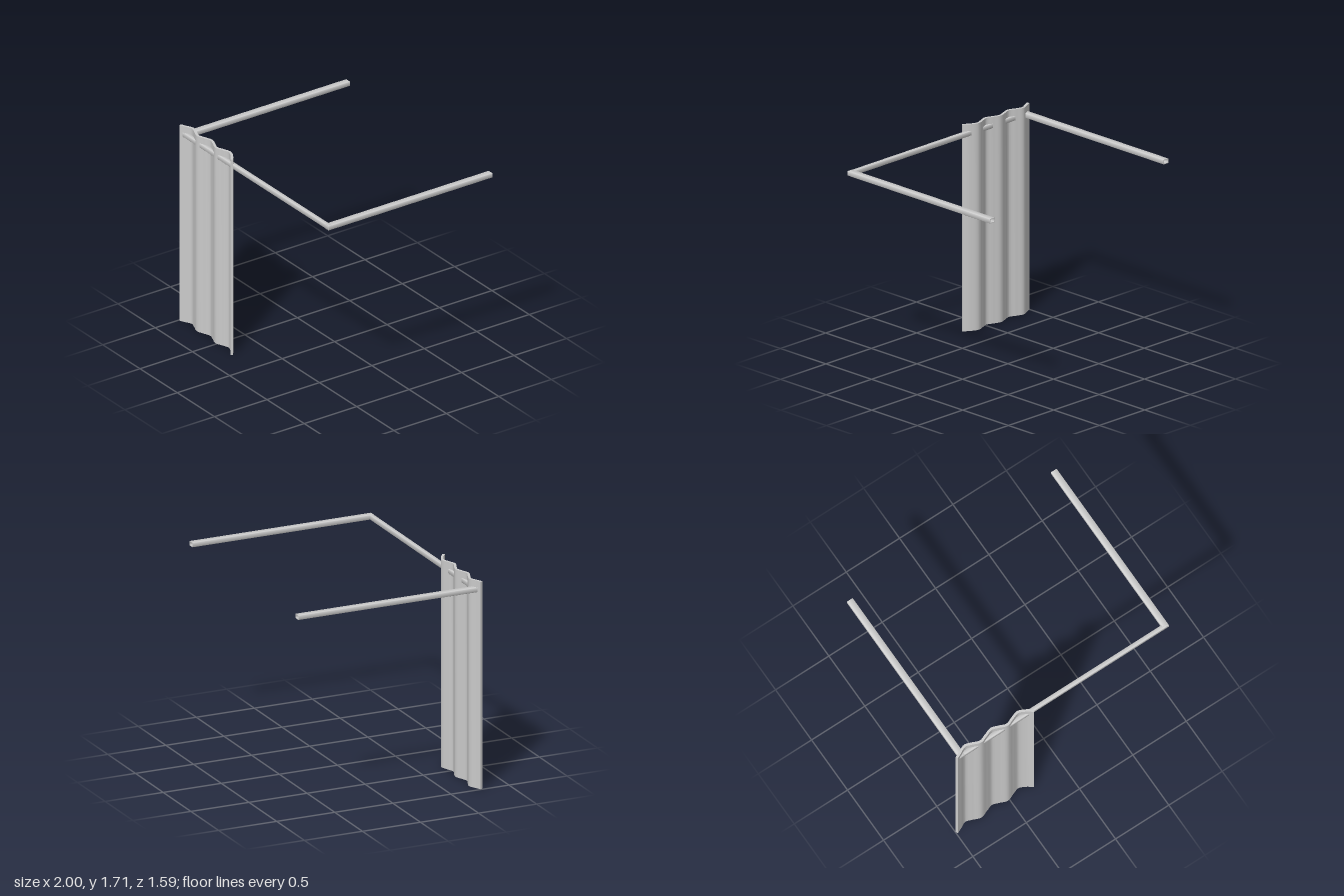
import * as THREE from 'three';
import { toCreasedNormals } from 'three/addons/utils/BufferGeometryUtils.js';

const RAIL_Y = 1.633, RAIL_H = 0.038, WALL = 0.005;

const material = new THREE.MeshStandardMaterial({ color: 0xcccccc, side: THREE.DoubleSide });

// Rectangle with slightly rounded corners, centred on the origin
function roundedRect(path, w, h, r) {
  const x = w / 2 - r, y = h / 2 - r;
  path.absarc(x, y, r, 0, Math.PI / 2);
  path.absarc(-x, y, r, Math.PI / 2, Math.PI);
  path.absarc(-x, -y, r, Math.PI, Math.PI * 1.5);
  path.absarc(x, -y, r, Math.PI * 1.5, Math.PI * 2);
  path.closePath();
  return path;
}

// Hollow rail running along +z
function railGeometry(width, length) {
  const shape = roundedRect(new THREE.Shape(), width, RAIL_H, 0.004);
  shape.holes.push(roundedRect(new THREE.Path(), width - 2 * WALL, RAIL_H - 2 * WALL, 0.002));
  const geo = new THREE.ExtrudeGeometry(shape, { depth: length, bevelEnabled: false, curveSegments: 3 });
  return toCreasedNormals(geo, 0.7);
}

// Wavy sheet of even thickness, drawn in plan and extruded upwards
function curtainGeometry(height, thickness) {
  const plan = [
    [-0.993, 0.767], [-0.95, 0.747], [-0.89, 0.72], [-0.83, 0.737], [-0.765, 0.76],
    [-0.70, 0.739], [-0.64, 0.72], [-0.58, 0.738], [-0.517, 0.76], [-0.455, 0.739],
    [-0.392, 0.72], [-0.33, 0.745], [-0.28, 0.781],
  ].map(([x, z]) => new THREE.Vector2(x, -z));
  const curve = new THREE.SplineCurve(plan);
  const front = [], back = [], n = 96;
  for (let i = 0; i <= n; i++) {
    const p = curve.getPoint(i / n), t = curve.getTangent(i / n);
    const side = new THREE.Vector2(-t.y, t.x).multiplyScalar(thickness / 2);
    front.push(p.clone().sub(side));
    back.unshift(p.clone().add(side));
  }
  const geo = new THREE.ExtrudeGeometry(new THREE.Shape([...front, ...back]), { depth: height, bevelEnabled: false });
  geo.rotateX(-Math.PI / 2);
  return toCreasedNormals(geo, 0.7);
}

export function createModel() {
  const group = new THREE.Group();
  const add = (name, geo, x = 0, y = 0, z = 0) => {
    const mesh = new THREE.Mesh(geo, material);
    mesh.name = name;
    mesh.position.set(x, y, z);
    group.add(mesh);
    return mesh;
  };

  // Side rails, open at the back
  add('leftSideRail', railGeometry(0.054, 1.56), 0.971, RAIL_Y, -0.796);
  add('rightSideRail', railGeometry(0.054, 1.56), -0.941, RAIL_Y, -0.796);

  // Front rail joining the two side rails
  add('frontRail', railGeometry(0.034, 1.96), -0.966, RAIL_Y, 0.748).rotation.y = Math.PI / 2;

  // Curtain weaving around the front rail
  add('curtain', curtainGeometry(1.707, 0.02));

  return group;
}
